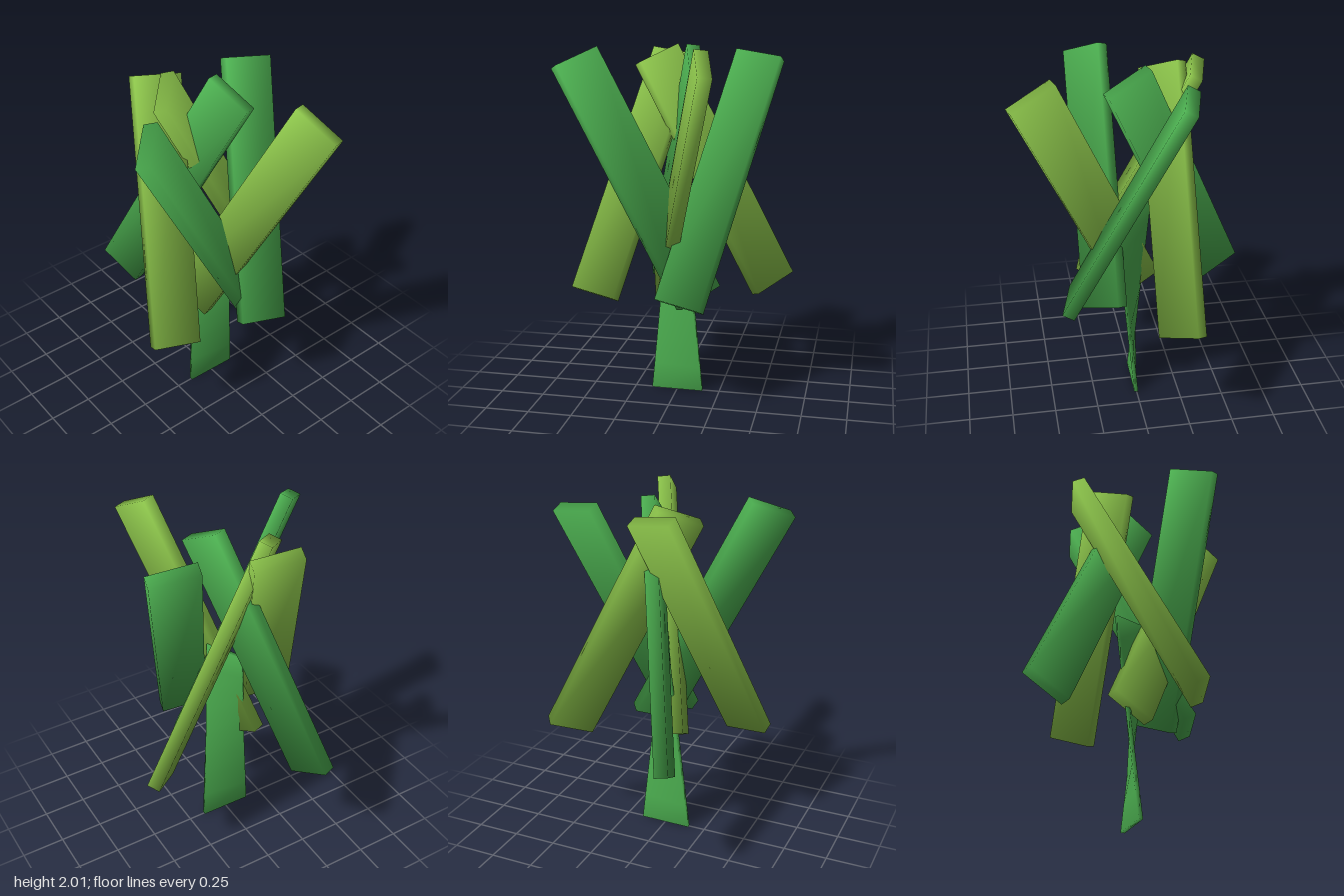
import * as THREE from 'three';
import { mergeVertices } from 'three/addons/utils/BufferGeometryUtils.js';

const LIGHT = 0x8bc34a, DARK = 0x4caf50;
const rad = THREE.MathUtils.degToRad;

// Box whose corners share averaged normals, so its faces shade softly
function softBox(w, h, d) {
  const g = new THREE.BoxGeometry(w, h, d);
  const p = g.attributes.position, n = g.attributes.normal;
  const v = new THREE.Vector3();
  for (let i = 0; i < p.count; i++) {
    v.set(Math.sign(p.getX(i)), Math.sign(p.getY(i)), Math.sign(p.getZ(i))).normalize();
    n.setXYZ(i, v.x, v.y, v.z);
  }
  return g;
}

// Leaning plank: its middle and its width follow the angle "around",
// its top leans towards the angle "lean" (both measured from +x to +z)
function plank(name, around, lean, color) {
  const a = rad(around), l = rad(lean);
  const run = 0.69, rise = 1.315;
  const along = new THREE.Vector3(run * Math.cos(l), rise, run * Math.sin(l));
  const length = along.length();
  const wide = new THREE.Vector3(Math.cos(a), -run * Math.cos(a - l) / rise, Math.sin(a)).normalize();
  along.normalize();
  const thick = new THREE.Vector3().crossVectors(wide, along);
  const mesh = new THREE.Mesh(softBox(0.27, length, 0.075), new THREE.MeshStandardMaterial({ color }));
  mesh.name = name;
  mesh.quaternion.setFromRotationMatrix(new THREE.Matrix4().makeBasis(wide, along, thick));
  mesh.position.set(0.264 * Math.cos(a), 1.284, 0.264 * Math.sin(a));
  return mesh;
}

// Thin stake: its foot lies along z and it twists towards x as it rises
function stake() {
  const height = 1.2;
  let g = new THREE.BoxGeometry(2, height, 2, 1, 8, 1);
  g.deleteAttribute('uv');
  g.deleteAttribute('normal');
  g = mergeVertices(g);
  const p = g.attributes.position;
  for (let i = 0; i < p.count; i++) {
    const y = p.getY(i) + height / 2, t = y / height;
    const ex = 0.002 + 0.106 * t, ez = -0.15 + 0.103 * t; // half of the wide side
    const k = 0.012 / Math.hypot(ex, ez);
    const s = p.getX(i), u = p.getZ(i);
    p.setXYZ(i, -s * ez * k + u * ex * -1, y, s * ex * k + u * ez * -1);
  }
  g.computeVertexNormals();
  const mesh = new THREE.Mesh(g, new THREE.MeshStandardMaterial({ color: DARK, side: THREE.DoubleSide }));
  mesh.name = 'stake';
  return mesh;
}

export function createModel() {
  const group = new THREE.Group();
  group.name = 'plankBush';
  // Three parallel pairs, alternating in colour around the stake
  const planks = [
    ['frontLeftPlank', 45, 90, DARK],
    ['leftPlank', -15, -30, LIGHT],
    ['backPlank', -75, -150, DARK],
    ['backRightPlank', -135, 90, LIGHT],
    ['rightPlank', 165, -30, DARK],
    ['frontPlank', 105, -150, LIGHT],
  ];
  for (const p of planks) group.add(plank(...p));
  group.add(stake());
  return group;
}
